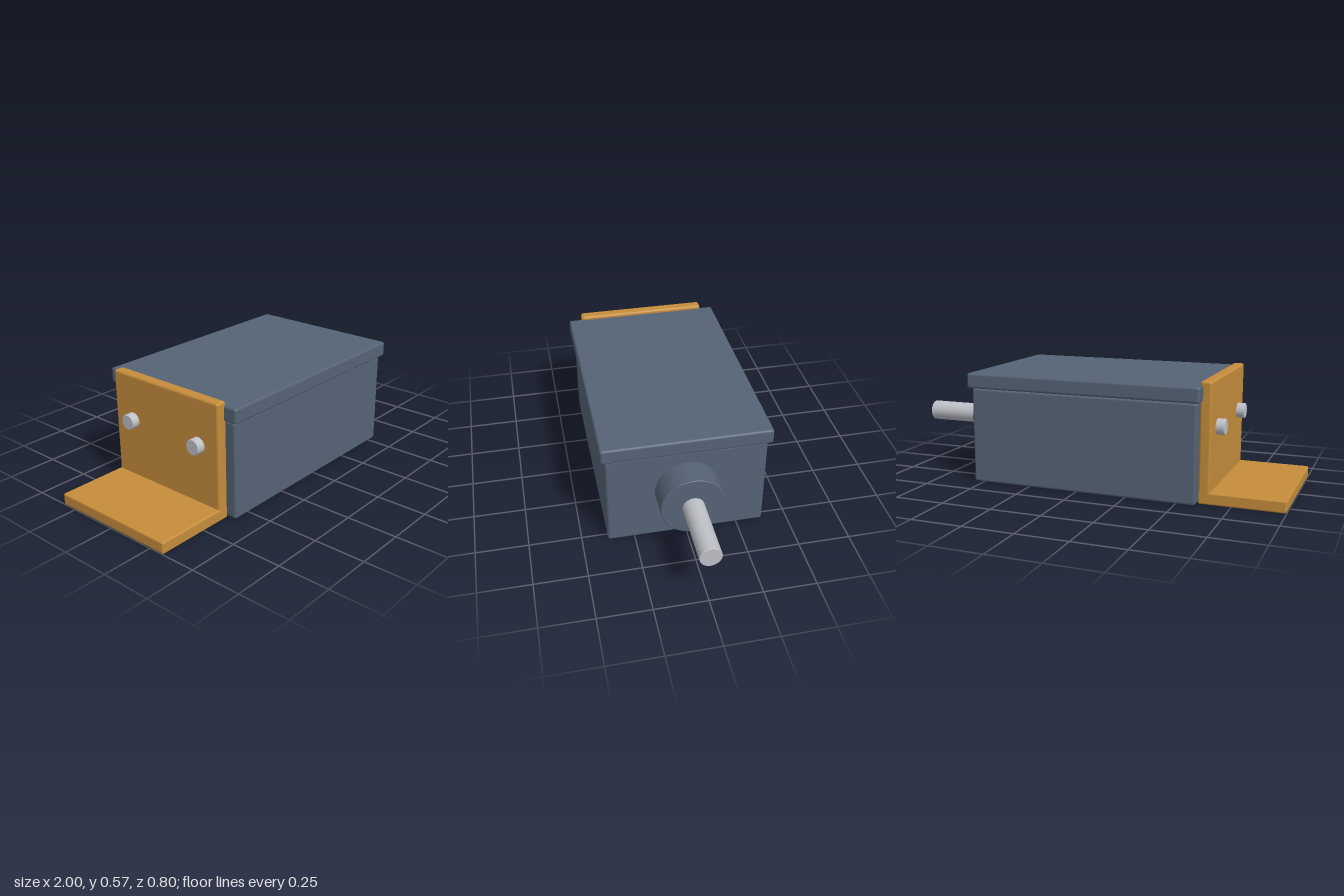
import * as THREE from 'three';
import { RoundedBoxGeometry } from 'three/addons/geometries/RoundedBoxGeometry.js';

const material = (name, color) => {
  const m = new THREE.MeshStandardMaterial({ color });
  m.name = name;
  return m;
};

export function createModel() {
  const group = new THREE.Group();
  const slate = material('slate blue', 0x556375);
  const brass = material('brass', 0xc58d3b);
  const steel = material('steel', 0xbdc0c6);

  const add = (name, geometry, mat) => {
    const mesh = new THREE.Mesh(geometry, mat);
    mesh.name = name;
    group.add(mesh);
    return mesh;
  };

  // Rounded block between two x and two y limits, centred on z
  const block = (name, x0, x1, y0, y1, depth, radius, mat) =>
    add(name, new RoundedBoxGeometry(x1 - x0, y1 - y0, depth, 3, radius), mat)
      .position.set((x0 + x1) / 2, (y0 + y1) / 2, 0);

  // Rod along x with a small chamfer at both ends; each profile segment is
  // a separate frustum so the edges stay crisp
  const rod = (name, x0, x1, y, z, r, c, mat) => {
    const h = x1 - x0;
    const v = (a, b) => new THREE.Vector2(a, b);
    const profile = [
      v(0, 0), v(r - c, 0), v(r - c, 0), v(r, c), v(r, c),
      v(r, h - c), v(r, h - c), v(r - c, h), v(r - c, h), v(0, h),
    ];
    const part = new THREE.Group();
    part.name = name;
    for (let i = 0; i < profile.length; i += 2) {
      const mesh = new THREE.Mesh(new THREE.LatheGeometry([profile[i], profile[i + 1]], 48), mat);
      mesh.name = name + 'Face';
      part.add(mesh);
    }
    part.rotation.z = -Math.PI / 2;
    part.position.set(x0, y, z);
    group.add(part);
  };

  // Housing and overhanging lid
  block('housing', -0.595, 0.545, 0.003, 0.475, 0.756, 0.012, slate);
  block('lid', -0.61, 0.562, 0.477, 0.552, 0.796, 0.012, slate);

  // L-shaped mounting bracket
  block('bracketPlate', -0.65, -0.595, 0, 0.57, 0.66, 0.012, brass);
  block('bracketFoot', -1, -0.595, 0, 0.057, 0.66, 0.008, brass);

  // Bearing collar and output shaft
  rod('collar', 0.54, 0.68, 0.268, 0, 0.151, 0.003, slate);
  rod('shaft', 0.67, 1, 0.268, 0, 0.051, 0.002, steel);

  // Bolts on the bracket
  for (const side of [-1, 1]) {
    rod('bolt', -0.69, -0.64, 0.345, side * 0.21, 0.038, 0.003, steel);
  }
  return group;
}
